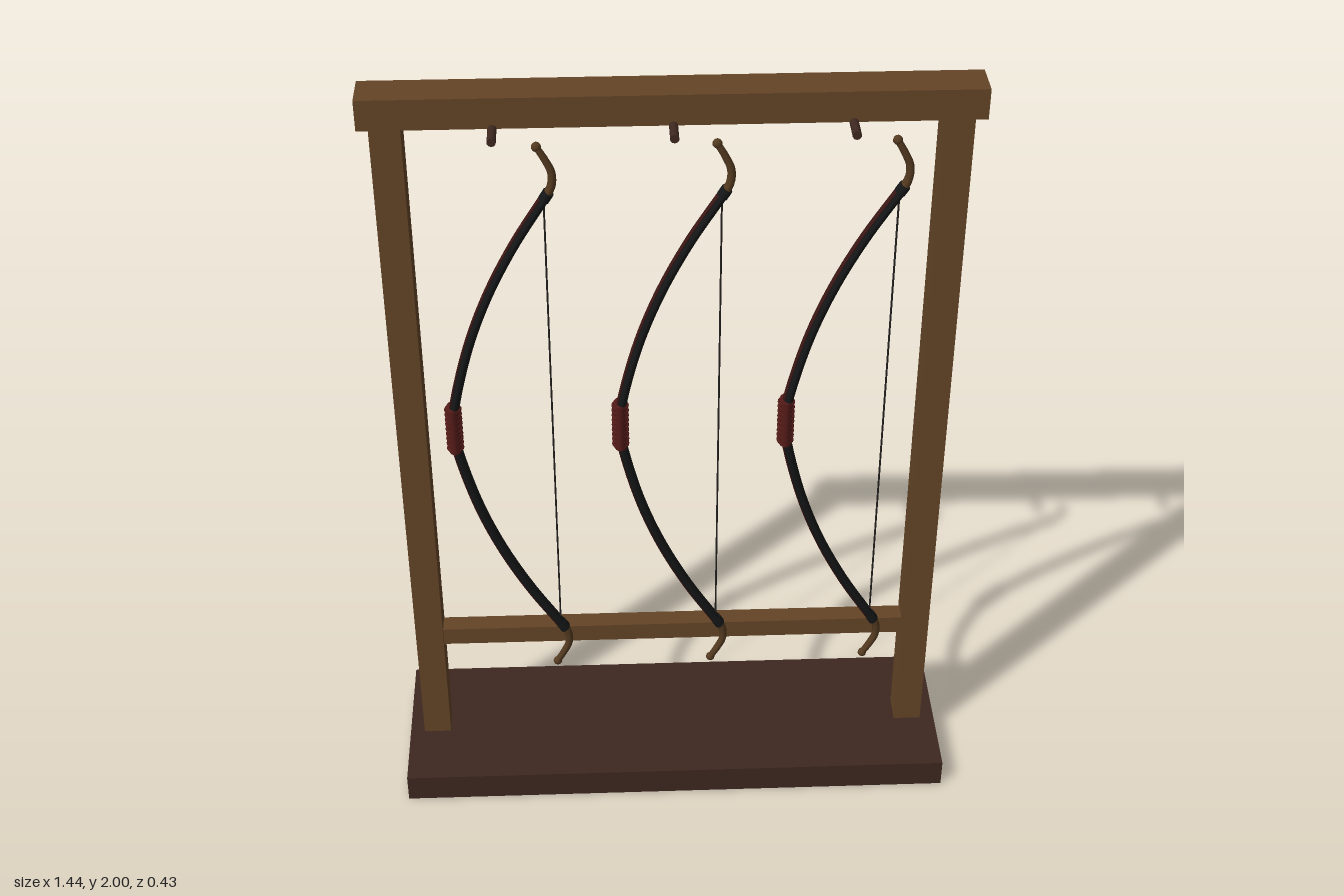
import * as THREE from 'three';

const mat = (name, color) => {
  const m = new THREE.MeshStandardMaterial({ color });
  m.name = name;
  return m;
};

const MID = 1.127; // height of the bow grips
const BOW_Z = 0.077;

// Sweeps an elliptical section along a path in the xy plane that runs upward.
// size(t) gives [half thickness, half width]; shift moves it along the normal.
function sweep(points, size, steps, shift = () => 0, sides = 10) {
  const curve = new THREE.CatmullRomCurve3(points.map(([x, y]) => new THREE.Vector3(x, y, 0)));
  const pos = [], idx = [];
  for (let i = 0; i <= steps; i++) {
    const t = i / steps, c = curve.getPointAt(t), d = curve.getTangentAt(t);
    const [th, w] = size(t);
    for (let j = 0; j < sides; j++) {
      const a = (j / sides) * Math.PI * 2;
      const n = Math.cos(a) * th + shift(t);
      pos.push(c.x + d.y * n, c.y - d.x * n, Math.sin(a) * w);
      if (i < steps) {
        const k = (j + 1) % sides, p = i * sides, q = p + sides;
        idx.push(p + j, q + j, p + k, p + k, q + j, q + k);
      }
    }
  }
  const g = new THREE.BufferGeometry();
  g.setAttribute('position', new THREE.Float32BufferAttribute(pos, 3));
  g.setIndex(idx);
  g.computeVertexNormals();
  return g;
}

export function createModel() {
  const wood = mat('oak wood', 0x644527);
  const darkWood = mat('dark wood', 0x3e2820);
  const limbMat = mat('black horn', 0x151617);
  const backMat = mat('dark red backing', 0x3c1714);
  const gripMat = mat('dark red leather', 0x541b18);
  const tipMat = mat('tip wood', 0x543a20);
  const stringMat = mat('bow string', 0x24211f);

  const root = new THREE.Group();
  root.name = 'bowRack';
  const add = (parent, name, geo, material, x = 0, y = 0, z = 0) => {
    const m = new THREE.Mesh(geo, material);
    m.name = name;
    m.position.set(x, y, z);
    parent.add(m);
    return m;
  };
  const box = (name, w, h, d, material, x, y, z) =>
    add(root, name, new THREE.BoxGeometry(w, h, d), material, x, y, z);

  // Frame
  box('base', 1.44, 0.076, 0.43, darkWood, 0, 0.038, 0);
  box('topBeam', 1.416, 0.075, 0.098, wood, 0, 1.9625, 0);
  box('lowerRail', 1.22, 0.05, 0.05, wood, 0, 0.408, 0);
  for (const s of [-1, 1])
    box(s > 0 ? 'leftPost' : 'rightPost', 0.072, 1.85, 0.072, wood, s * 0.646, 1.0005, 0);

  // Bow curves, measured from the grip height
  const half = [[-0.128, 0.05], [-0.086, 0.225], [-0.033, 0.37], [0.035, 0.508], [0.114, 0.638]];
  const mirror = (pts) => pts.map(([x, y]) => [x, -y]).reverse();
  const limbPath = [...mirror(half), [-0.132, 0], ...half];
  const tipPath = [[0.108, 0.63], [0.127, 0.665], [0.129, 0.7], [0.117, 0.73], [0.097, 0.766]];

  // Shared bow geometry
  const away = (t) => Math.abs(t * 2 - 1);
  const limbHalf = (t) => 0.0115 - 0.001 * away(t);
  const limbGeo = sweep(limbPath, (t) => [limbHalf(t), 0.0205 - 0.004 * away(t)], 64);
  const backGeo = sweep(limbPath, (t) => [0.0025, 0.0125 - 0.002 * away(t)], 64, (t) => -limbHalf(t), 6);
  const tipSize = (t) => [0.011 - 0.003 * t, 0.0145 - 0.005 * t];
  const upperTip = sweep(tipPath, tipSize, 16);
  const lowerTip = sweep(mirror(tipPath), (t) => tipSize(1 - t), 16);
  const knob = new THREE.SphereGeometry(0.0115, 10, 8);
  const binding = new THREE.CylinderGeometry(0.0135, 0.0135, 0.022, 12);
  const gripCore = new THREE.CylinderGeometry(0.0165, 0.0165, 0.128, 16);
  gripCore.scale(1, 1, 1.5);
  const gripRing = new THREE.TorusGeometry(0.0165, 0.005, 6, 16);
  gripRing.rotateX(Math.PI / 2);
  gripRing.scale(1, 1, 1.13);
  const string = new THREE.CylinderGeometry(0.0025, 0.0025, 1.3, 6);
  const peg = new THREE.CylinderGeometry(0.0105, 0.0105, 0.085, 10);
  peg.rotateX(Math.PI / 2);

  for (const x of [-0.405, 0, 0.405]) {
    add(root, 'peg', peg, darkWood, x, 1.9245, 0.0705);

    const bow = new THREE.Group();
    bow.name = 'bow';
    bow.position.set(x, MID, BOW_Z);
    root.add(bow);
    add(bow, 'limbs', limbGeo, limbMat);
    add(bow, 'limbBacking', backGeo, backMat);
    add(bow, 'upperTip', upperTip, tipMat);
    add(bow, 'lowerTip', lowerTip, tipMat);
    add(bow, 'string', string, stringMat, 0.109);

    // Bindings and nocks at both ends
    for (const s of [-1, 1]) {
      const b = add(bow, 'binding', binding, limbMat, 0.115, s * 0.641, 0);
      b.rotation.z = -s * 0.55;
      b.scale.z = 1.3;
      add(bow, 'nock', knob, tipMat, 0.097, s * 0.766, 0);
    }

    // Wrapped grip
    const grip = new THREE.Group();
    grip.name = 'grip';
    grip.position.x = -0.131;
    bow.add(grip);
    add(grip, 'gripCore', gripCore, gripMat);
    for (let i = 0; i < 9; i++) add(grip, 'gripWrap', gripRing, gripMat, 0, (i - 4) * 0.0142, 0);
  }
  return root;
}
